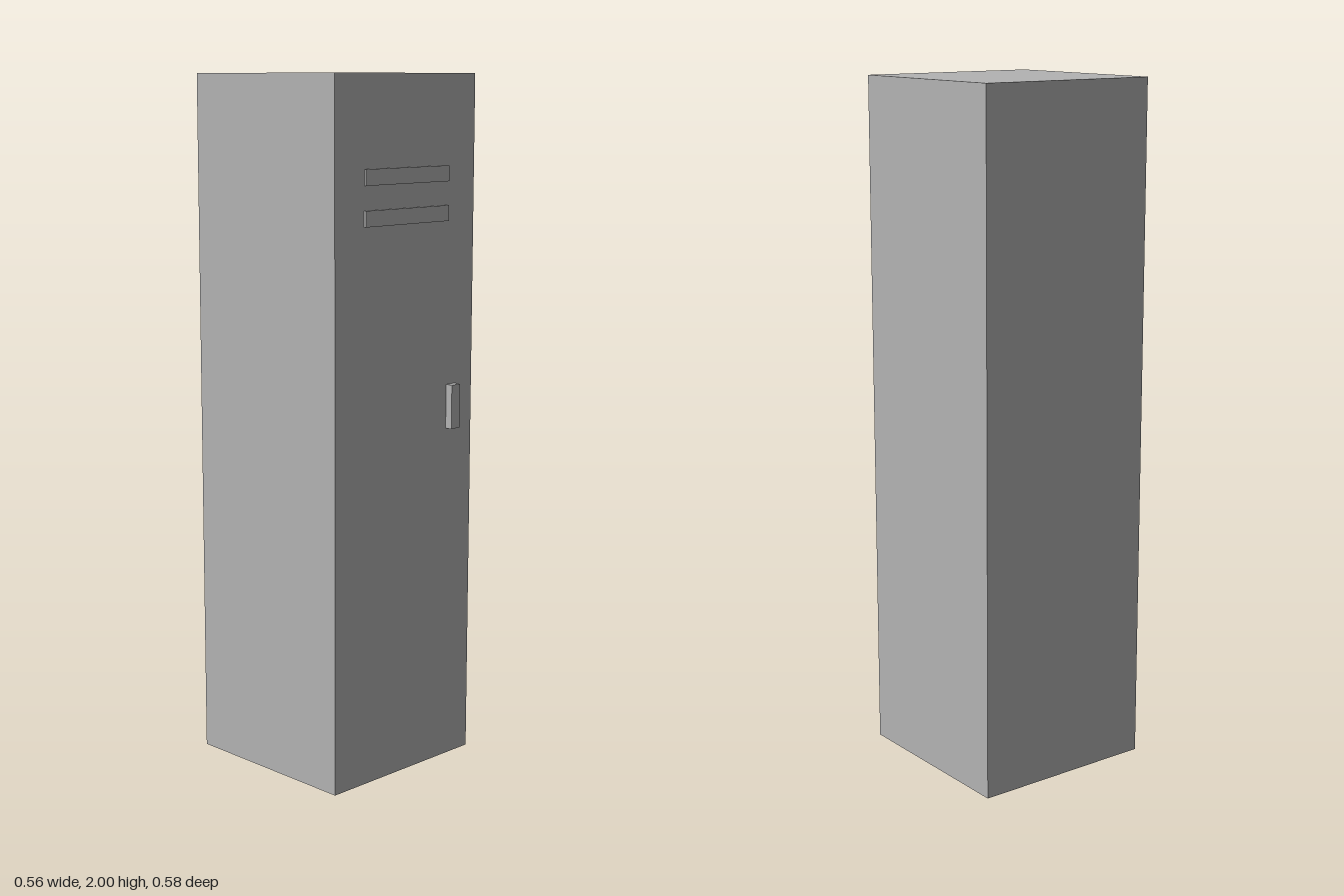
import * as THREE from 'three';

export function createModel() {
  const locker = new THREE.Group();
  locker.name = 'locker';

  const greyMetal = new THREE.MeshStandardMaterial({ color: 0xb3b3b3 });
  greyMetal.name = 'grey metal';

  const front = 0.267; // z of the door face

  const addBox = (name, w, h, d, x, y, z) => {
    const mesh = new THREE.Mesh(new THREE.BoxGeometry(w, h, d), greyMetal);
    mesh.name = name;
    mesh.position.set(x, y, z);
    locker.add(mesh);
  };

  // Cabinet
  addBox('cabinet', 0.556, 2, 0.556, 0, 1, front - 0.278);

  // Raised vent slats near the top of the door
  [['upperVent', 1.724], ['lowerVent', 1.613]].forEach(([name, y]) =>
    addBox(name, 0.334, 0.044, 0.012, 0, y, front));

  // Door handle
  addBox('handle', 0.035, 0.128, 0.044, 0.188, 1.058, front);

  return locker;
}
